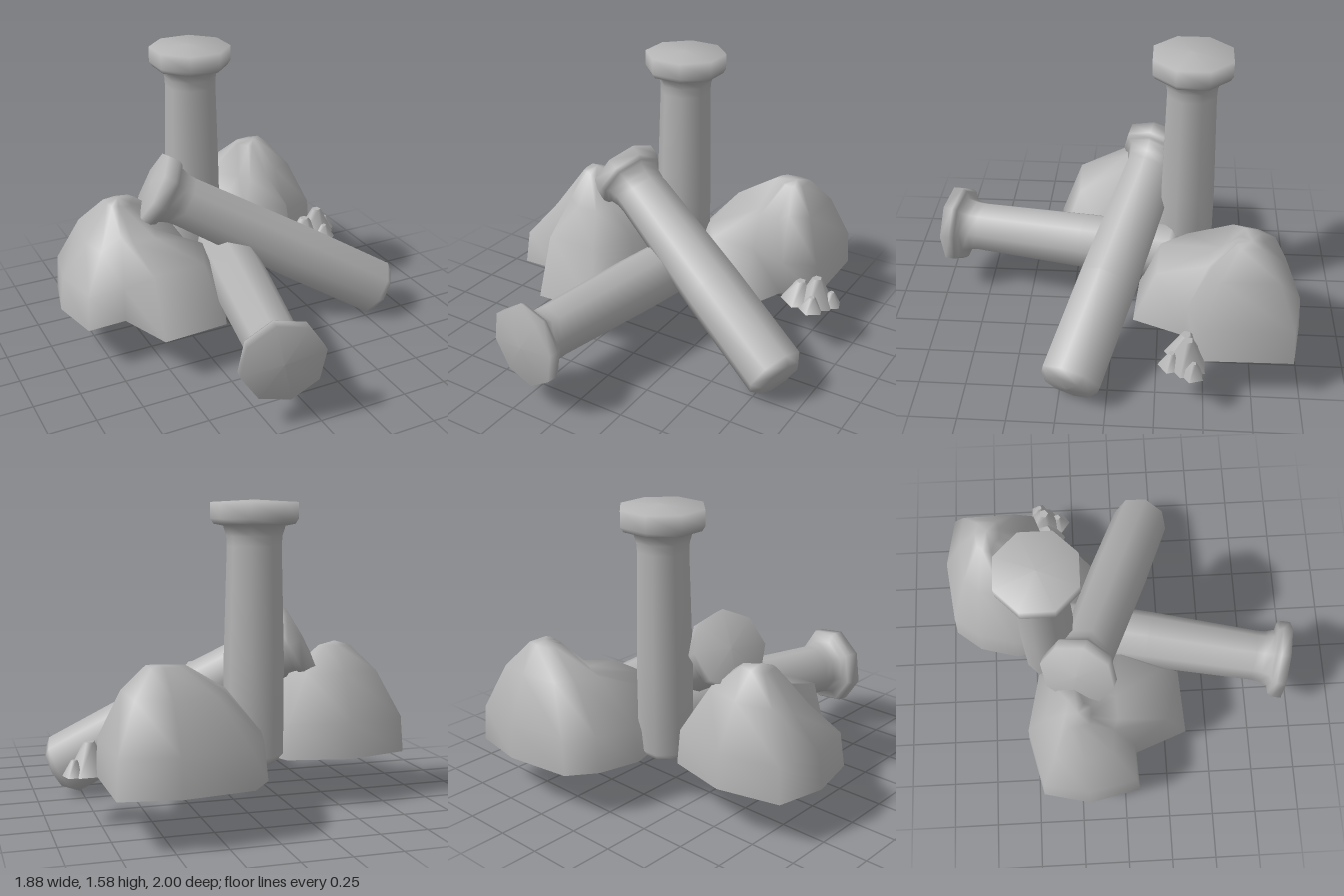
import * as THREE from 'three';

const stone = new THREE.MeshStandardMaterial({ color: 0xb4b4b4, side: THREE.DoubleSide });
stone.name = 'grey stone';

function addMesh(parent, name, geometry) {
  const mesh = new THREE.Mesh(geometry, stone);
  mesh.name = name;
  parent.add(mesh);
  return mesh;
}

// Smooth eight-sided column running from its broken base to its cap (radius capR, thickness capH)
function addColumn(parent, name, base, top, r, capR, capH, phase) {
  const a = new THREE.Vector3(...base);
  const axis = new THREE.Vector3(...top).sub(a);
  const h = axis.length();
  const under = h - capH;
  const profile = [
    [0, -0.01], [r * 0.75, 0], [r, 0.045], [r, h * 0.4], [r * 0.9, under - 0.1],
    [r * 0.92, under - 0.05], [r * 1.02, under], [capR * 0.93, under + 0.01],
    [capR, under + 0.035], [capR, h - 0.012], [0, h],
  ].map(([x, y]) => new THREE.Vector2(x, y));
  const mesh = addMesh(parent, name, new THREE.LatheGeometry(profile, 8, phase));
  mesh.position.copy(a);
  mesh.quaternion.setFromUnitVectors(new THREE.Vector3(0, 1, 0), axis.normalize());
}

// Slope profiles: [share of the way to the peak, height]
const STEEP = [[0, 0.26], [0.04, 0.45], [0.4, 0.69], [0.78, 0.82]];
const STRAIGHT = [[0, 0.26], [0.06, 0.45], [0.45, 0.62], [0.82, 0.82]];
const LEDGE = [[0, 0.26], [0.2, 0.58], [0.65, 0.655], [0.88, 0.81]];

// Open-bottomed boulder: an outline of [x, z, slope] climbing to a peak
function addBoulder(parent, name, outline, peak) {
  const n = outline.length, rings = STEEP.length;
  const pos = [], index = [];
  for (let j = 0; j < rings; j++) {
    for (const [x, z, slope = STEEP] of outline) {
      const [t, y] = slope[j];
      pos.push(x + (peak[0] - x) * t, y, z + (peak[2] - z) * t);
    }
  }
  pos.push(...peak);
  for (let k = 0; k < n; k++) {
    const m = (k + 1) % n;
    for (let j = 0; j < rings - 1; j++) {
      const a = j * n + k, b = j * n + m;
      index.push(a, a + n, b + n, a, b + n, b);
    }
    index.push((rings - 1) * n + k, rings * n, (rings - 1) * n + m);
  }
  const geometry = new THREE.BufferGeometry();
  geometry.setAttribute('position', new THREE.Float32BufferAttribute(pos, 3));
  geometry.setIndex(index);
  geometry.computeVertexNormals();
  addMesh(parent, name, geometry);
}

export function createModel() {
  const model = new THREE.Group();
  model.name = 'ruinedColumns';

  // Columns: standing, fallen and leaning
  addColumn(model, 'standingColumn', [-0.063, 0.25, -0.39], [-0.063, 1.588, -0.39], 0.154, 0.222, 0.13, Math.PI / 8);
  addColumn(model, 'fallenColumn', [0.072, 0.418, -0.36], [-0.2, 0.38, 0.97], 0.16, 0.222, 0.1, 0);
  addColumn(model, 'leaningColumn', [0.872, 0.135, 0.195], [-0.385, 0.873, -0.24], 0.168, 0.205, 0.115, Math.PI / 8);

  // Two boulders, each with a lower ledge at the front
  addBoulder(model, 'rightBoulder', [
    [-0.88, -0.46], [-0.55, -0.54], [-0.22, -0.47], [-0.13, -0.29], [-0.08, 0.05, LEDGE],
    [-0.2, 0.34, LEDGE], [-0.56, 0.36, LEDGE], [-0.67, 0.07], [-0.88, 0.08, STRAIGHT], [-0.94, -0.2, STRAIGHT],
  ], [-0.57, 0.84, -0.24]);
  addBoulder(model, 'leftBoulder', [
    [0, -0.81], [0.11, -0.95], [0.47, -1], [0.76, -0.95], [0.77, -0.46], [0.58, -0.39],
    [0.47, -0.12, LEDGE], [0.14, -0.14, LEDGE], [0.01, -0.32, LEDGE], [-0.06, -0.59],
  ], [0.5, 0.83, -0.71]);

  // Small rubble beside the left boulder: [x, z, radius, height]
  const rubble = new THREE.Group();
  rubble.name = 'rubble';
  for (const [x, z, r, h] of [[0.79, -0.41, 0.11, 0.16], [0.7, -0.4, 0.11, 0.12], [0.8, -0.33, 0.07, 0.08], [0.87, -0.44, 0.06, 0.08]]) {
    const chip = addMesh(rubble, 'rubbleStone', new THREE.CylinderGeometry(r * 0.25, r, h, 5));
    chip.position.set(x, 0.255 + h / 2, z);
  }
  model.add(rubble);
  return model;
}
